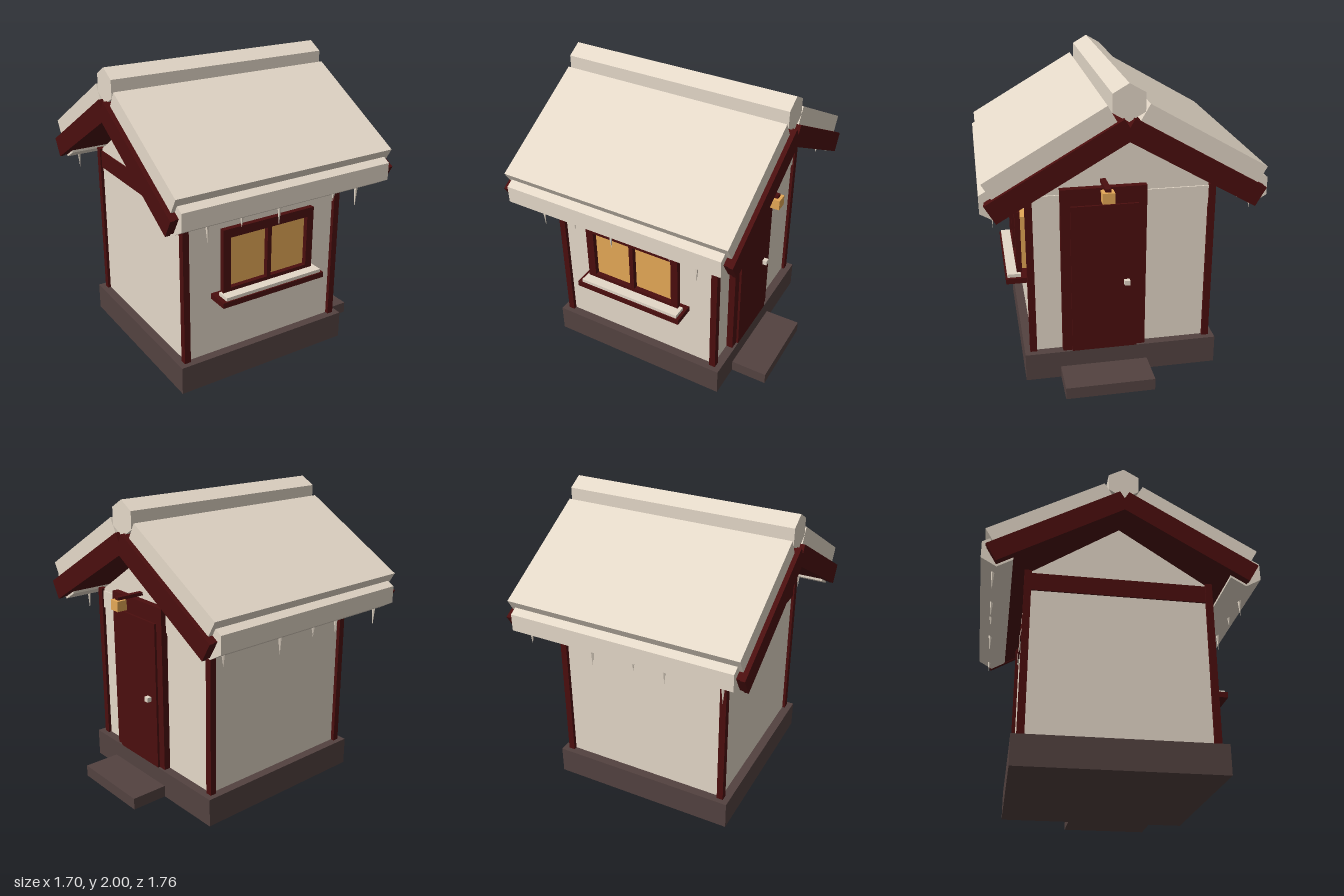
import * as THREE from 'three';

const mat = (name, color) => {
  const m = new THREE.MeshStandardMaterial({ color });
  m.name = name;
  return m;
};

export function createModel() {
  const cream = mat('cream', 0xe4d8c8);
  const red = mat('darkRed', 0x4b0e0e);
  const stone = mat('stone', 0x534240);
  const amber = mat('amber', 0xe4a856);
  const model = new THREE.Group();
  model.name = 'snowyHut';

  const add = (name, geo, material) => {
    const mesh = new THREE.Mesh(geo, material);
    mesh.name = name;
    model.add(mesh);
    return mesh;
  };
  // Box given by its extents on each axis
  const box = (name, material, x0, x1, y0, y1, z0, z1) => {
    const mesh = add(name, new THREE.BoxGeometry(x1 - x0, y1 - y0, z1 - z0), material);
    mesh.position.set((x0 + x1) / 2, (y0 + y1) / 2, (z0 + z1) / 2);
    return mesh;
  };
  const faceted = (geo) => {
    const g = geo.toNonIndexed();
    g.computeVertexNormals();
    return g;
  };

  // Base and doorstep
  box('foundation', stone, -0.68, 0.6, 0, 0.19, -0.64, 0.64);
  box('doorstep', stone, 0.6, 0.85, 0, 0.08, -0.17, 0.41);

  // Walls, with a frieze of alternating full-depth blocks
  box('walls', cream, -0.62, 0.54, 0.19, 1.155, -0.58, 0.58);
  const tile = 0.1475;
  for (let i = 0; i < 8; i++) {
    const x = -0.63 + i * tile;
    box('friezeBlock', i % 2 ? cream : red, x, x + tile, 1.155, 1.275, -0.59, 0.59);
  }
  for (const x of [-0.64, 0.518])
    for (const z of [-0.605, 0.56]) box('cornerPost', red, x, x + 0.043, 0.19, 1.29, z, z + 0.045);

  // Gable prism under the roof
  const tri = new THREE.Shape([
    new THREE.Vector2(-0.585, 1.275), new THREE.Vector2(0.585, 1.275), new THREE.Vector2(0, 1.66),
  ]);
  const gable = new THREE.ExtrudeGeometry(tri, { depth: 1.16, bevelEnabled: false });
  gable.rotateY(Math.PI / 2);
  add('gable', gable, cream).position.x = -0.62;

  // Door, knob and lamp
  box('doorFrame', red, 0.53, 0.585, 0.19, 1.32, -0.155, 0.39);
  box('doorPanel', red, 0.53, 0.6, 0.19, 1.21, -0.1, 0.33);
  box('doorKnob', cream, 0.6, 0.63, 0.657, 0.69, -0.045, -0.01);
  box('lampArm', red, 0.53, 0.73, 1.343, 1.365, 0.1, 0.135);
  box('lamp', amber, 0.68, 0.75, 1.277, 1.345, 0.08, 0.155);

  // Window
  box('windowPane', amber, -0.34, 0.27, 0.66, 1.03, 0.57, 0.622);
  box('windowFrameSide', red, -0.385, -0.33, 0.65, 1.08, 0.62, 0.655);
  box('windowFrameSide', red, 0.255, 0.305, 0.65, 1.08, 0.62, 0.655);
  box('windowFrameTop', red, -0.33, 0.255, 1.02, 1.08, 0.62, 0.655);
  box('windowFrameBottom', red, -0.33, 0.255, 0.65, 0.675, 0.62, 0.655);
  box('windowMullion', red, -0.055, -0.025, 0.675, 1.02, 0.62, 0.655);
  box('windowSill', red, -0.43, 0.35, 0.59, 0.627, 0.58, 0.73);
  box('sillSnow', cream, -0.4, 0.33, 0.627, 0.65, 0.63, 0.72);

  // Sloped slab placed by its upper inner edge; side is +1 front, -1 back
  const pitch = Math.PI / 6;
  const slab = (name, material, side, x0, x1, z, y, length, thick) => {
    const mesh = add(name, new THREE.BoxGeometry(x1 - x0, thick, length), material);
    const c = Math.cos(pitch), s = Math.sin(pitch);
    mesh.position.set((x0 + x1) / 2, y - (s * length + c * thick) / 2, side * (z + (c * length - s * thick) / 2));
    mesh.rotation.x = side * pitch;
  };
  // Six-sided bar along x with a corner pointing up
  const hexBar = (name, x0, x1, y, z) => {
    const g = faceted(new THREE.CylinderGeometry(0.113, 0.113, x1 - x0, 6));
    g.rotateY(Math.PI / 2).rotateZ(Math.PI / 2);
    add(name, g, cream).position.set((x0 + x1) / 2, y, z);
  };

  // Icicles as [x, tip height]
  const icicles = {
    1: [[-0.585, 1.1], [-0.35, 1.15], [-0.08, 1.095], [0.335, 1.165], [0.52, 1.08]],
    [-1]: [[0.63, 1.14], [0.18, 1.1], [-0.11, 1.15], [-0.32, 1.12], [-0.7, 1.095]],
  };

  for (const side of [1, -1]) {
    slab('roofDeck', red, side, -0.82, 0.745, 0.03, 1.8, 0.945, 0.13);
    slab('bargeboard', red, side, -0.85, -0.82, 0.03, 1.8, 0.95, 0.134);
    slab('bargeboard', red, side, 0.745, 0.775, 0.03, 1.8, 0.95, 0.134);
    slab('roofSnow', cream, side, -0.82, 0.745, 0.125, 1.875, 0.85, 0.113);
    hexBar('eaveSnow', -0.795, 0.715, 1.313, side * 0.78);
    for (const [x, tip] of icicles[side]) {
      const h = 1.225 - tip;
      const g = faceted(new THREE.ConeGeometry(0.013, h, 5));
      g.rotateX(Math.PI);
      add('icicle', g, cream).position.set(x, tip + h / 2, side * 0.8);
    }
  }
  hexBar('ridgeSnow', -0.82, 0.745, 1.887, 0);

  return model;
}
